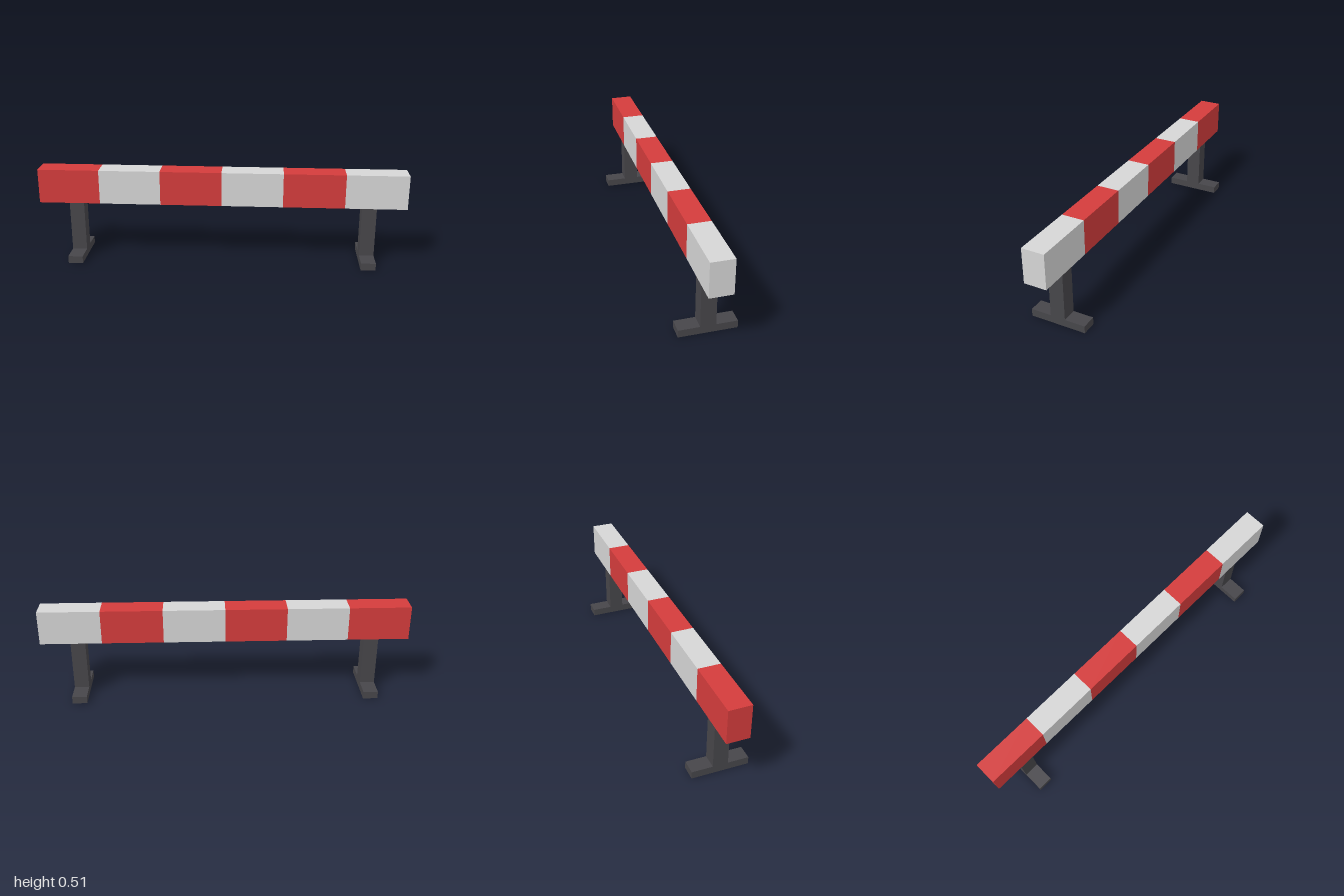
import * as THREE from 'three';

export function createModel() {
  const model = new THREE.Group();
  model.name = 'barrier';

  const material = (name, color) => {
    const m = new THREE.MeshStandardMaterial({ color });
    m.name = name;
    return m;
  };
  const red = material('red', 0xd43c3c);
  const white = material('white', 0xd6d6d6);
  const dark = material('dark grey', 0x47464a);

  const box = (parent, name, mat, size, pos) => {
    const mesh = new THREE.Mesh(new THREE.BoxGeometry(...size), mat);
    mesh.name = name;
    mesh.position.set(...pos);
    parent.add(mesh);
  };

  // Beam: six alternating painted sections
  const beam = new THREE.Group();
  beam.name = 'beam';
  model.add(beam);
  const sections = 6;
  const width = 2 / sections;
  for (let i = 0; i < sections; i++) {
    box(beam, `beamSection${i + 1}`, i % 2 ? white : red,
      [width, 0.187, 0.12], [-1 + (i + 0.5) * width, 0.4135, 0]);
  }

  // Two supports: upright post on a flat foot
  for (const [side, x] of [['right', -0.8], ['left', 0.8]]) {
    const support = new THREE.Group();
    support.name = `${side}Support`;
    support.position.x = x;
    model.add(support);
    box(support, 'post', dark, [0.08, 0.28, 0.08], [0, 0.18, 0]);
    box(support, 'foot', dark, [0.08, 0.04, 0.3], [0, 0.02, 0]);
  }

  return model;
}
